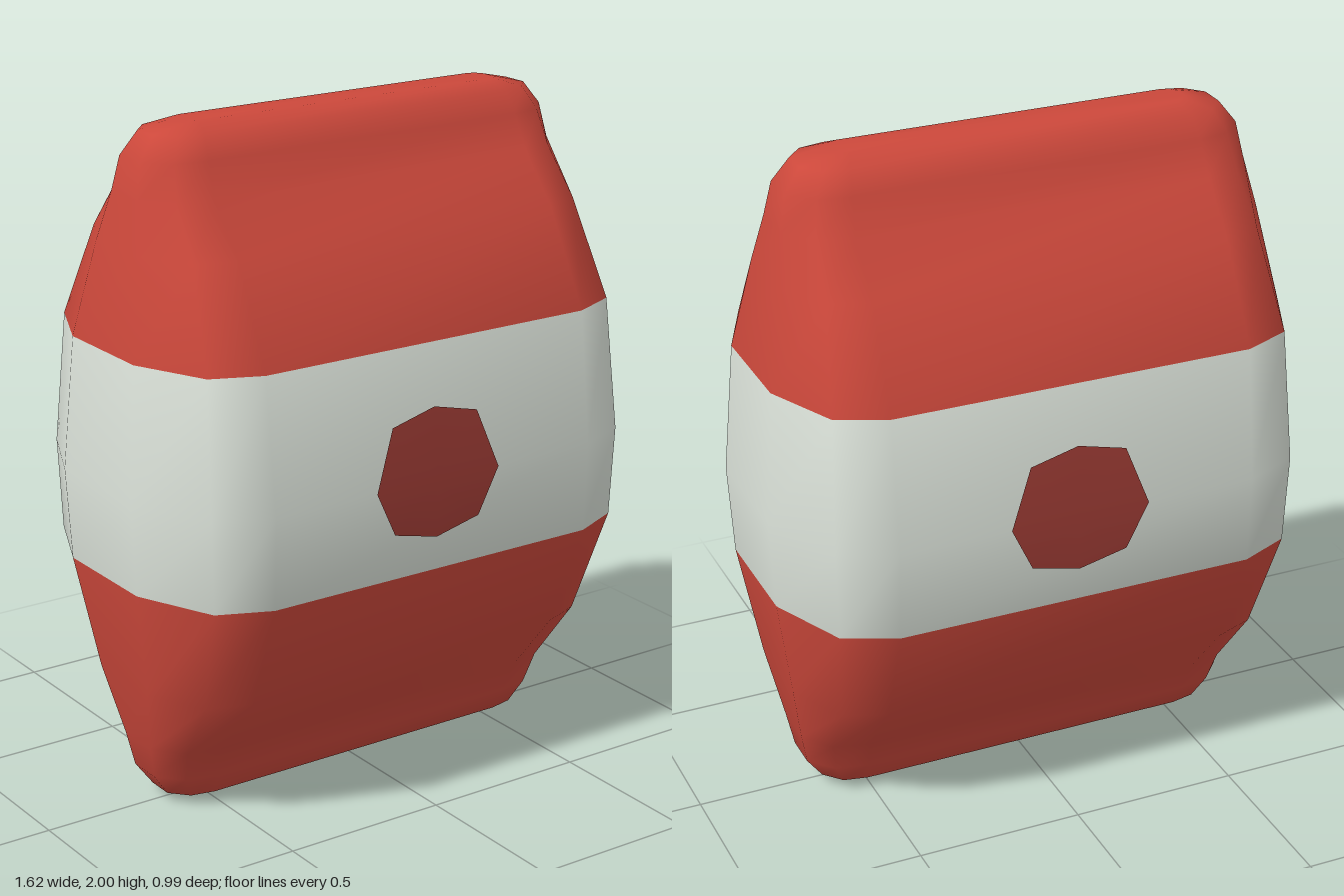
import * as THREE from 'three';

const material = (name, color, side = THREE.FrontSide) => {
  const m = new THREE.MeshStandardMaterial({ color, side });
  m.name = name;
  return m;
};

// Cross-sections: height, half width, half depth, half length of the flat front
const sections = [
  [0, 0.53, 0.05, 0.49],
  [0.03, 0.63, 0.11, 0.51],
  [0.1, 0.68, 0.145, 0.52],
  [0.2, 0.7, 0.185, 0.53],
  [0.4, 0.74, 0.35, 0.53],
  [0.73, 0.795, 0.48, 0.54],
  [1.0, 0.81, 0.49, 0.54],
  [1.39, 0.78, 0.445, 0.54],
  [1.67, 0.725, 0.305, 0.53],
  [1.81, 0.7, 0.185, 0.53],
  [1.91, 0.68, 0.145, 0.52],
  [1.975, 0.63, 0.11, 0.51],
  [2, 0.53, 0.05, 0.49],
];

// Twelve-sided ring with bevelled corners, running from +x towards +z
function ring([y, hx, hz, fx]) {
  const mx = fx + (hx - fx) * 0.6;
  const quarter = [[hx, hz * 0.37], [mx, hz * 0.86], [fx, hz]];
  const mirrored = [...quarter].reverse().map(([x, z]) => [-x, z]);
  const half = [...quarter, ...mirrored];
  return [...half, ...half.map(([x, z]) => [-x, -z])].map(([x, z]) => [x, y, z]);
}

// Smooth body, red above and below a pale middle band
function bodyGeometry() {
  const n = 12;
  const points = sections.flatMap(ring);
  const bottom = points.push([0, 0, 0]) - 1;
  const top = points.push([0, 2, 0]) - 1;
  const index = [];
  const geometry = new THREE.BufferGeometry();
  const last = (sections.length - 1) * n;
  for (let j = 0; j < n; j++) index.push(bottom, j, (j + 1) % n);
  geometry.addGroup(0, index.length, 0);
  for (let i = 0; i < sections.length - 1; i++) {
    const start = index.length;
    for (let j = 0; j < n; j++) {
      const a = i * n + j, b = i * n + ((j + 1) % n);
      index.push(a, a + n, b, b, a + n, b + n);
    }
    const pale = sections[i][0] >= 0.73 && sections[i][0] < 1.39;
    geometry.addGroup(start, index.length - start, pale ? 1 : 0);
  }
  const start = index.length;
  for (let j = 0; j < n; j++) index.push(top, last + ((j + 1) % n), last + j);
  geometry.addGroup(start, index.length - start, 0);
  geometry.setAttribute('position', new THREE.Float32BufferAttribute(points.flat(), 3));
  geometry.setIndex(index);
  geometry.computeVertexNormals();
  return geometry;
}

// Eight-sided spot that folds over the ridge at mid height
function spotGeometry() {
  const outline = [[0.21, 1], [0.145, 1.175], [0, 1.21], [-0.145, 1.175],
    [-0.21, 1], [-0.145, 0.865], [0, 0.83], [0.145, 0.865]];
  const depth = (y) => 0.494 - (y > 1 ? (y - 1) * 0.115 : (1 - y) * 0.037);
  const points = [[0, 1], ...outline].map(([x, y]) => [x, y, depth(y)]);
  const index = outline.flatMap((_, i) => [0, i + 1, ((i + 1) % 8) + 1]);
  const geometry = new THREE.BufferGeometry();
  geometry.setAttribute('position', new THREE.Float32BufferAttribute(points.flat(), 3));
  geometry.setIndex(index);
  geometry.computeVertexNormals();
  return geometry;
}

export function createModel() {
  const model = new THREE.Group();
  model.name = 'pillowPacket';
  const red = material('red', 0xcc483b);
  const pale = material('paleGrey', 0xdce3da);
  const darkRed = material('darkRed', 0x9c3b34, THREE.DoubleSide);

  const body = new THREE.Mesh(bodyGeometry(), [red, pale]);
  body.name = 'body';
  model.add(body);

  // Matching spots on front and back
  const spot = spotGeometry();
  for (const [name, turn] of [['frontSpot', 0], ['backSpot', Math.PI]]) {
    const mesh = new THREE.Mesh(spot, darkRed);
    mesh.name = name;
    mesh.rotation.y = turn;
    model.add(mesh);
  }
  return model;
}
